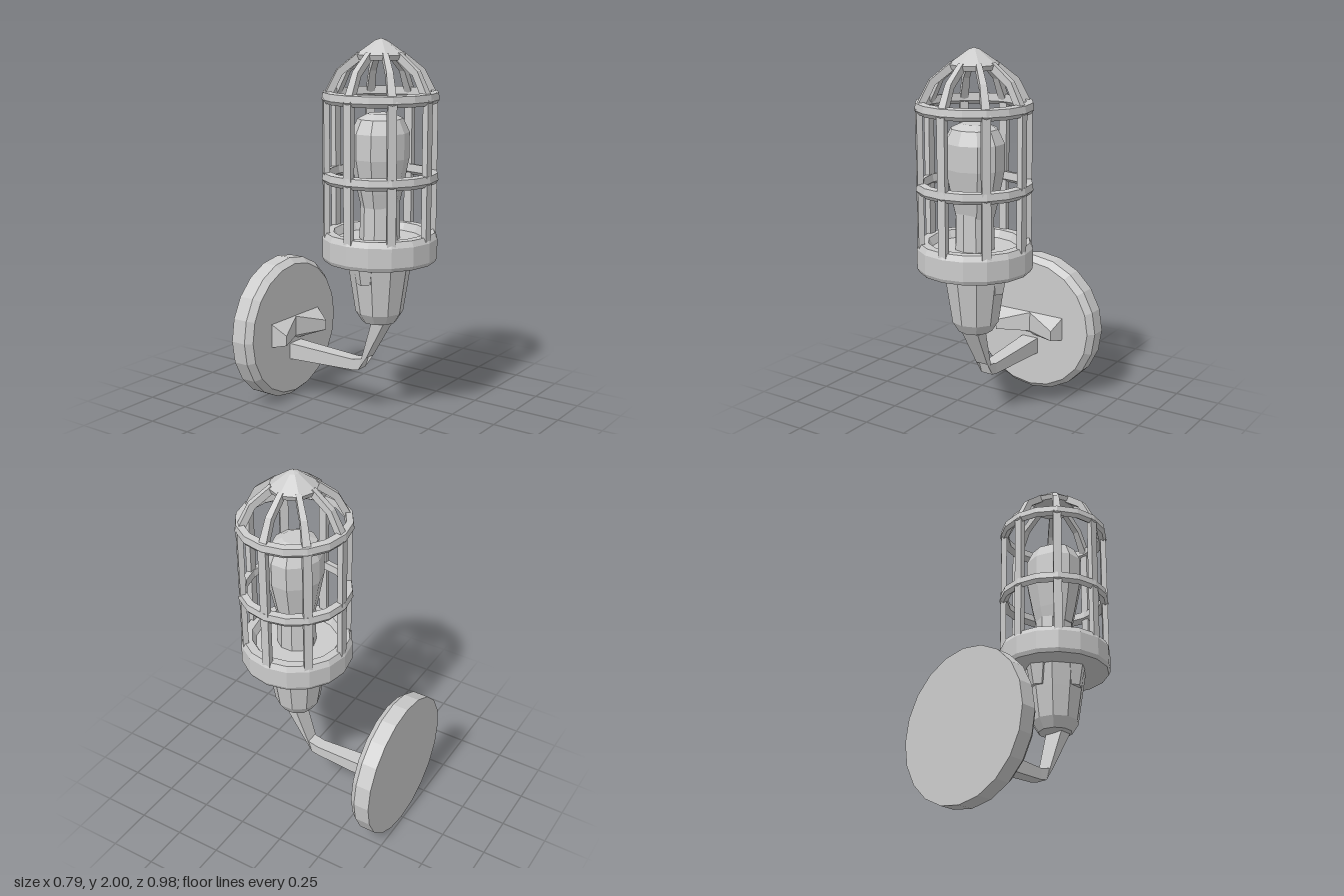
import * as THREE from 'three';

const material = new THREE.MeshStandardMaterial({ color: 0xcccccc, flatShading: true, side: THREE.DoubleSide });

function addMesh(parent, name, geometry) {
  const mesh = new THREE.Mesh(geometry, material);
  mesh.name = name;
  parent.add(mesh);
  return mesh;
}

function lathe(points, sides) {
  return new THREE.LatheGeometry(points.map(([r, y]) => new THREE.Vector2(r, y)), sides);
}

// Rectangular tube swept through sections [y, z, halfWidth, halfDepth, tilt] in the x = 0 plane
function sweptBar(sections) {
  const positions = [];
  const index = [];
  for (const [y, z, w, d, tilt] of sections) {
    for (const [sx, sn] of [[-1, -1], [1, -1], [1, 1], [-1, 1]]) {
      positions.push(sx * w, y + sn * d * Math.cos(tilt), z + sn * d * Math.sin(tilt));
    }
  }
  for (let s = 0; s < sections.length - 1; s++) {
    for (let k = 0; k < 4; k++) {
      const a = s * 4 + k, b = s * 4 + (k + 1) % 4;
      index.push(a, b, b + 4, a, b + 4, a + 4);
    }
  }
  const e = (sections.length - 1) * 4;
  index.push(0, 2, 1, 0, 3, 2, e, e + 1, e + 2, e, e + 2, e + 3);
  const geometry = new THREE.BufferGeometry();
  geometry.setAttribute('position', new THREE.Float32BufferAttribute(positions, 3));
  geometry.setIndex(index);
  geometry.computeVertexNormals();
  return geometry;
}

export function createModel() {
  const model = new THREE.Group();
  model.name = 'cagedWallLamp';

  // Round wall plate with a bevelled front edge
  const plate = addMesh(model, 'wallPlate', lathe(
    [[0, 0], [0.395, 0], [0.395, 0.085], [0.365, 0.12], [0, 0.12]], 20));
  plate.rotation.x = Math.PI / 2;
  plate.position.set(0, 0.395, -0.49);

  // Mounting block: two ridges joined by a low saddle
  const block = new THREE.Group();
  block.name = 'mountingBlock';
  model.add(block);
  for (const side of [-1, 1]) {
    const g = new THREE.BoxGeometry(0.21, 0.14, 0.09);
    const p = g.attributes.position;
    for (let i = 0; i < p.count; i++) {
      if (p.getZ(i) < 0) continue;
      const outer = p.getX(i) * side > 0;
      p.setX(i, side * (outer ? 0.075 : -0.105));
      p.setY(i, p.getY(i) > 0 ? (outer ? 0.005 : 0.06) : -0.05);
      if (!outer) p.setZ(i, -0.03);
    }
    g.computeVertexNormals();
    addMesh(block, side > 0 ? 'leftRidge' : 'rightRidge', g).position.set(side * 0.105, 0.4, -0.335);
  }

  // Bent arm
  addMesh(model, 'arm', sweptBar([
    [0.27, -0.38, 0.05, 0.045, 0],
    [0.27, 0.04, 0.035, 0.03, 0],
    [0.285, 0.105, 0.035, 0.045, 0.6],
    [0.57, 0.23, 0.055, 0.055, 1.15],
  ]));

  // Everything on the vertical lamp axis
  const lamp = new THREE.Group();
  lamp.name = 'lamp';
  lamp.position.z = 0.19;
  model.add(lamp);

  addMesh(lamp, 'socketCup', lathe(
    [[0, 0.53], [0.09, 0.535], [0.125, 0.59], [0.15, 0.75], [0.17, 0.88]], 10));
  for (let i = 0; i < 3; i++) {
    const pivot = new THREE.Group();
    pivot.name = 'socketLug';
    pivot.rotation.y = Math.PI / 2 + i * Math.PI / 2;
    lamp.add(pivot);
    const lug = addMesh(pivot, 'lug', new THREE.CylinderGeometry(0.07, 0.045, 0.12, 6));
    lug.position.set(0, 0.82, 0.125);
  }

  addMesh(lamp, 'collar', lathe(
    [[0, 0.87], [0.29, 0.87], [0.3, 0.89], [0.3, 0.99], [0.285, 1.02], [0.24, 1.02], [0.22, 0.98], [0, 0.98]], 16));

  // Bulb and its base
  addMesh(lamp, 'bulbBase', new THREE.CylinderGeometry(0.1, 0.105, 0.22, 10)).position.y = 1.08;
  const bulb = addMesh(lamp, 'bulb', lathe(
    [[0, 1.15], [0.105, 1.15], [0.125, 1.23], [0.16, 1.4], [0.16, 1.53], [0.125, 1.6], [0.07, 1.625], [0, 1.625]], 10));
  bulb.scale.z = 0.9;

  // Cage hoops with a ridged outer edge
  for (const [name, y] of [['middleHoop', 1.305], ['upperHoop', 1.71]]) {
    addMesh(lamp, name, lathe(
      [[0.255, y - 0.01], [0.285, y - 0.03], [0.3, y - 0.01], [0.295, y + 0.025], [0.26, y + 0.03], [0.255, y - 0.01]], 16));
  }

  // Eight uprights that bend inwards to the cap
  for (let i = 0; i < 8; i++) {
    const bar = new THREE.Group();
    bar.name = 'cageBar';
    bar.rotation.y = i * Math.PI / 4;
    lamp.add(bar);
    addMesh(bar, 'upright', new THREE.BoxGeometry(0.045, 0.72, 0.03)).position.set(0, 1.35, 0.278);
    addMesh(bar, 'domeRib', sweptBar([
      [1.92, 0.1, 0.014, 0.02, 0.9],
      [1.835, 0.21, 0.017, 0.018, 0.85],
      [1.7, 0.28, 0.022, 0.018, 1.3],
    ]));
  }

  // Pointed cap
  addMesh(lamp, 'cap', lathe(
    [[0, 1.89], [0.12, 1.895], [0.13, 1.92], [0.03, 1.99], [0, 2]], 8));

  return model;
}
